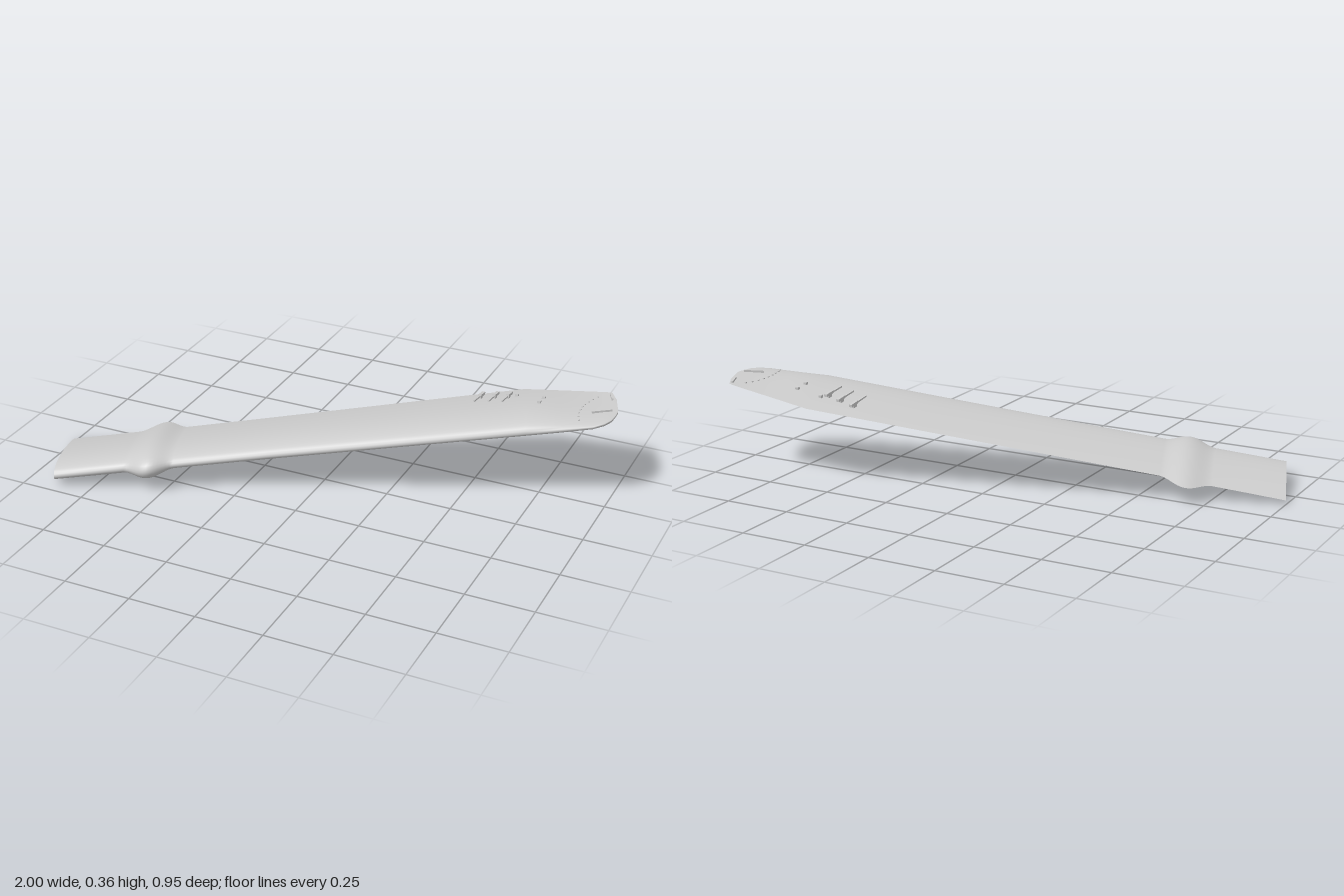
import * as THREE from 'three';

// Wing axes seen from above: u runs along the span, v from trailing to leading edge.
const C = 0.94, S = 0.342;
const toUV = (x, z) => [C * x - S * z, S * x + C * z];

// Stations: u, trailing v, leading v, thickness above, thickness below
const stations = [[-0.99, -0.2, 0.141, 0.036, 0.031], [-0.85, -0.201, 0.14, 0.036, 0.031]];
// Swollen collar near the root
for (let i = 0; i <= 14; i++) {
  const t = i / 14;
  const k = Math.pow(0.5 - 0.5 * Math.cos(2 * Math.PI * t), 0.9);
  stations.push([-0.73 + 0.185 * t, -0.203 - 0.068 * k, 0.138 + 0.043 * k, 0.036 + 0.019 * k, 0.031 + 0.024 * k]);
}
// Plain panel, then the flattened, rounded tip
stations.push(
  [-0.2, -0.212, 0.134, 0.037, 0.03], [0.3, -0.226, 0.135, 0.037, 0.029],
  [0.725, -0.237, 0.136, 0.038, 0.028], [0.85, -0.196, 0.137, 0.023, 0.025],
  [0.96, -0.16, 0.136, 0.011, 0.021], [1.0, -0.147, 0.119, 0.008, 0.021],
  [1.025, -0.138, 0.095, 0.005, 0.021], [1.04, -0.13, 0.065, 0.003, 0.02],
  [1.052, -0.07, 0.03, 0.002, 0.016]);

// Rising, slightly twisted chord surface
function chordY(u, v) {
  const back = 0.0155 + 0.161 * (u + 0.99);
  const front = 0.04 + 0.152 * (u + 0.99);
  return THREE.MathUtils.lerp(back, front, (v + 0.2) / 0.34);
}

// Aerofoil half thickness, 1 at its fullest; f goes from trailing (0) to leading (1)
function foil(f) {
  const c = 1 - f;
  return 10 * (0.2969 * Math.sqrt(c) - 0.126 * c - 0.3516 * c ** 2 + 0.2843 * c ** 3 - 0.1036 * c ** 4);
}

function sectionPoint([u, v0, v1, up, down], f, top) {
  const v = THREE.MathUtils.lerp(v0, v1, f);
  const y = chordY(u, v) + foil(f) * (top ? up : -down);
  return [C * u + S * v, y, -S * u + C * v];
}

// Height of the upper skin at a place seen from above
function skinY(x, z) {
  const [u, v] = toUV(x, z);
  let i = 0;
  while (i < stations.length - 2 && stations[i + 1][0] < u) i++;
  const a = stations[i], b = stations[i + 1];
  const t = THREE.MathUtils.clamp((u - a[0]) / (b[0] - a[0]), 0, 1);
  const s = a.map((n, k) => THREE.MathUtils.lerp(n, b[k], t));
  const f = THREE.MathUtils.clamp((v - s[1]) / (s[2] - s[1]), 0, 1);
  return chordY(u, v) + foil(f) * s[3];
}

// Ring from the trailing edge over the top to the leading edge and back below
const N = 20;
function ring(s) {
  const points = [];
  for (let j = 0; j <= 2 * N; j++) {
    const f = 0.5 - 0.5 * Math.cos(Math.PI * j / N);
    points.push(sectionPoint(s, f, j <= N));
  }
  return points;
}

function skinGeometry() {
  const pos = [], index = [], w = 2 * N + 1;
  stations.forEach((s) => ring(s).forEach((p) => pos.push(...p)));
  for (let i = 0; i < stations.length - 1; i++) {
    for (let j = 0; j < w - 1; j++) {
      const a = i * w + j, b = a + w;
      index.push(a, a + 1, b, a + 1, b + 1, b);
    }
  }
  return finish(pos, index);
}

function capGeometry(s, outer) {
  const [u, v0, v1] = s, v = (v0 + v1) / 2, index = [];
  const pos = [C * u + S * v, chordY(u, v), -S * u + C * v];
  ring(s).forEach((p) => pos.push(...p));
  for (let j = 1; j <= 2 * N; j++) index.push(0, outer ? j : j + 1, outer ? j + 1 : j);
  return finish(pos, index);
}

function finish(pos, index) {
  const g = new THREE.BufferGeometry();
  g.setAttribute('position', new THREE.Float32BufferAttribute(pos, 3));
  g.setIndex(index);
  g.computeVertexNormals();
  return g;
}

export function createModel() {
  const group = new THREE.Group();
  const grey = new THREE.MeshStandardMaterial({ color: 0xcccccc });
  grey.name = 'light grey';

  function add(name, geometry) {
    const mesh = new THREE.Mesh(geometry, grey);
    mesh.name = name;
    group.add(mesh);
    return mesh;
  }

  // Small bar between two places on the skin, lifted by the given amount
  function bar(name, x1, z1, x2, z2, width, height, lift = 0) {
    const a = new THREE.Vector3(x1, skinY(x1, z1) + lift, z1);
    const b = new THREE.Vector3(x2, skinY(x2, z2) + lift, z2);
    const mesh = add(name, new THREE.BoxGeometry(width, height, a.distanceTo(b)));
    mesh.position.copy(a).lerp(b, 0.5);
    mesh.lookAt(b);
  }

  add('wingSkin', skinGeometry());
  add('rootCap', capGeometry(stations[0], false));
  add('tipCap', capGeometry(stations[stations.length - 1], true));

  // Three raised probes, each on a short post
  for (const x of [0.475, 0.53, 0.582]) {
    bar('probe', x, -0.37, x, -0.27, 0.006, 0.006, 0.014);
    bar('probeHead', x, -0.372, x, -0.33, 0.012, 0.01, 0.015);
    bar('probePost', x, -0.355, x, -0.335, 0.006, 0.018, 0.006);
  }

  // Small studs
  for (const [x, z] of [[0.605, -0.37], [0.71, -0.365], [0.71, -0.312]]) {
    bar('stud', x, z - 0.006, x, z + 0.006, 0.012, 0.012, 0.003);
  }

  // Ridges and a dotted arc at the tip
  bar('tipRidge', 0.915, -0.29, 0.978, -0.328, 0.007, 0.01, 0.003);
  bar('tipEdgeRidge', 0.93, -0.465, 0.952, -0.415, 0.006, 0.008, 0.003);
  for (let i = 0; i < 9; i++) {
    const z = -0.43 + i * 0.026;
    const x = 0.868 + 2.2 * (z + 0.32) ** 2;
    bar('tipRivet', x, z - 0.003, x, z + 0.003, 0.005, 0.006, 0.001);
  }
  return group;
}
